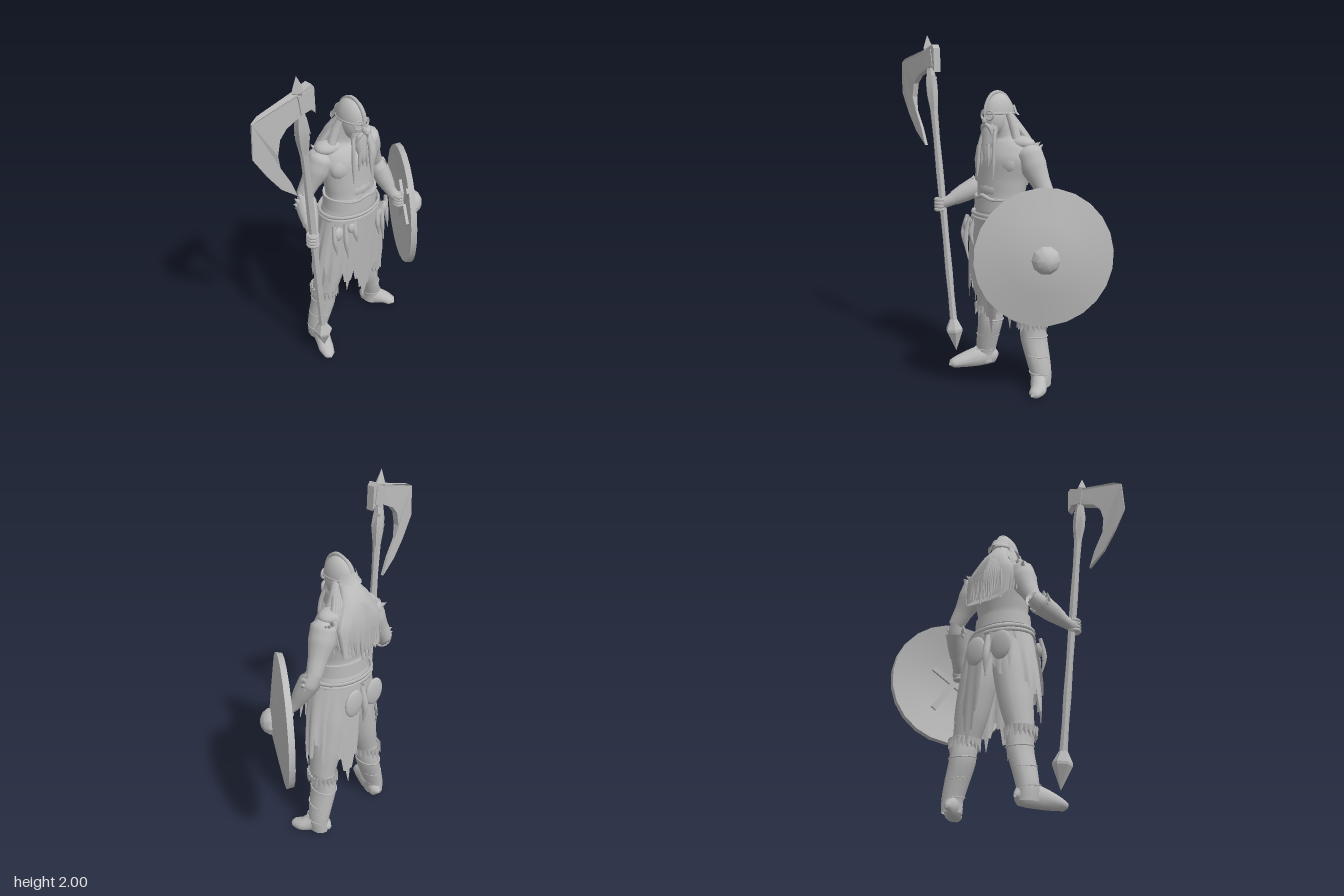
import * as THREE from 'three';
import { mergeVertices, mergeGeometries, toCreasedNormals } from 'three/addons/utils/BufferGeometryUtils.js';

export function createModel() {
  const root = new THREE.Group();
  const stone = new THREE.MeshStandardMaterial({ color: 0xbababa, side: THREE.DoubleSide });
  stone.name = 'stone grey';
  const lerp = THREE.MathUtils.lerp;
  let seed = 7;
  const rand = () => (seed = (seed * 16807) % 2147483647) / 2147483647;

  const add = (name, g, pos = [0, 0, 0], parent = root) => {
    const m = new THREE.Mesh(g, stone);
    m.name = name;
    m.position.set(...pos);
    parent.add(m);
    return m;
  };
  const flat = (g) => toCreasedNormals(g, 0.3);

  // Tapered tube through points; a radius is a number or [x, y, z]
  function tube(pts, radii, sides = 10, steps = 4, floor = -1) {
    const curve = new THREE.CatmullRomCurve3(pts.map((p) => new THREE.Vector3(...p)));
    curve.getPointAt = (t, v) => curve.getPoint(t, v);
    curve.getTangentAt = (t, v) => curve.getTangent(t, v);
    const n = (pts.length - 1) * steps;
    const g = new THREE.TubeGeometry(curve, n, 1, sides, false);
    const p = g.attributes.position;
    const R = radii.map((r) => (Array.isArray(r) ? r : [r, r, r]));
    for (let i = 0; i <= n; i++) {
      const c = curve.getPoint(i / n);
      const k = Math.min(Math.floor(i / steps), R.length - 2), f = i / steps - k;
      const r = [0, 1, 2].map((a) => lerp(R[k][a], R[k + 1][a], f));
      for (let j = 0; j <= sides; j++) {
        const q = i * (sides + 1) + j;
        p.setXYZ(q, c.x + (p.getX(q) - c.x) * r[0],
          Math.max(floor, c.y + (p.getY(q) - c.y) * r[1]), c.z + (p.getZ(q) - c.z) * r[2]);
      }
    }
    g.deleteAttribute('uv');
    g.deleteAttribute('normal');
    const m = mergeVertices(g, 1e-5);
    m.computeVertexNormals();
    return m;
  }
  const limb = (name, pts, radii, sides, steps, floor) => add(name, tube(pts, radii, sides, steps, floor));
  const ball = (name, pos, scale) => add(name, new THREE.SphereGeometry(1, 16, 12).scale(...scale), pos);
  const spike = (a, b, r) => tube([a, b], [r, 0.001], 5, 1);

  // Ring of fur tufts around a vertical limb
  function furRing(name, [x, y, z], r, len, count) {
    const tufts = [];
    for (let i = 0; i < count; i++) {
      const a = (i / count) * Math.PI * 2, s = Math.sin(a), c = Math.cos(a), o = r * (1 + rand() * 0.1);
      tufts.push(spike([x + s * r * 0.85, y + len * 0.4, z + c * r * 0.9],
        [x + s * o, y - len * (0.4 + rand() * 0.4), z + c * o * 1.1], 0.024));
    }
    add(name, mergeGeometries(tufts));
  }

  // Torso, chest and belts
  limb('torso',
    [[.06, .86, -.06], [.06, .96, -.06], [.06, 1.04, -.05], [.06, 1.12, -.05], [.06, 1.21, -.06], [.065, 1.31, -.075], [.065, 1.38, -.09], [.06, 1.44, -.09], [.055, 1.54, -.05]],
    [[.16, .1, .11], [.185, .1, .135], [.163, .1, .125], [.158, .1, .115], [.17, .1, .12], [.195, .1, .13], [.175, .1, .11], [.1, .1, .085], [.055, .06, .055]], 22);
  for (const s of [-1, 1]) {
    ball('pectoral', [.06 + s * .075, 1.29, -.02], [.095, .08, .058]);
    ball('trapezius', [.06 + s * .1, 1.4, -.1], [.1, .045, .07]);
  }
  ball('belly', [.06, 1.14, -.03], [.13, .08, .1]);
  add('waistBelt', toCreasedNormals(new THREE.CylinderGeometry(1, 1.02, .075, 24).scale(.17, 1, .135), .6), [.06, 1.065, -.05]);
  limb('beltPeak', [[-.06, 1.095, .045], [0, 1.095, .075], [.06, 1.115, .088], [.12, 1.095, .075], [.18, 1.095, .045]], [.006, .01, .012, .01, .006], 6);
  for (const y of [.975, 1.0]) {
    add('rope', new THREE.TorusGeometry(1, .05, 6, 24).rotateX(Math.PI / 2).scale(.195, .25, .146), [.06, y, -.055]);
  }

  // Hip pouches, rear flaps and hanging trophies
  for (const [x, y, z, r] of [[-.04, .93, .075, .028], [-.12, .91, .05, .035], [.18, .92, .065, .028], [.25, .91, .035, .035]]) {
    ball('pouch', [x, y, z], [r, r * 1.25, r * .7]);
  }
  for (const [x, z] of [[-.045, -.21], [.125, -.215]]) ball('rearFlap', [x, .87, z], [.068, .085, .018]);
  for (const [x, z, end] of [[-.02, .085, .82], [-.08, .075, .72], [-.14, .045, .76], [.16, .085, .78], [.22, .065, .7], [.29, .03, .74]]) {
    limb('hipCord', [[x, .97, z - .01], [x - .012, (.97 + end) / 2, z + .012], [x + .008, end, z + .01]], [.012, .016, .002], 6);
  }
  limb('backKnife', [[.05, .95, -.2], [.045, .82, -.225], [.05, .7, -.22]], [.016, .022, .002], 7);

  // Ragged cloth panels wrapped round the hips: angle, width, bottom height, puff
  const panels = [[4, 56, .3, 1], [-26, 36, .43, 1.03], [-50, 44, .46, 1.06], [-78, 44, .42, 1], [-108, 40, .52, 1.03], [36, 40, .36, 1.04],
    [62, 42, .42, 1], [92, 44, .46, 1.03], [124, 44, .5, 1.08], [160, 40, .33, 1.1], [-152, 40, .66, 1.05]];
  panels.forEach(([deg, wide, bottom, puff], i) => {
    const g = new THREE.PlaneGeometry(1, 1, 10, 6), p = g.attributes.position;
    for (let k = 0; k < p.count; k++) {
      const u = p.getX(k) * 2, v = .5 - p.getY(k);
      const jag = 1 - .36 * Math.abs(u) - .07 * (Math.round(p.getX(k) * 10 + 5) % 2 ? 0 : 1) * Math.min(1, Math.abs(u) * 5);
      const y = .98 - v * (.98 - bottom) * jag, t = (.98 - y) / .6;
      const a = (deg + u * wide * .5 * (1 - .2 * v)) * Math.PI / 180;
      const o = puff + .03 * Math.sin(u * 7 + i) * v;
      const rx = .195 + .07 * Math.sin(Math.min(t, 1) * 1.9);
      p.setXYZ(k, .07 + Math.sin(a) * rx * o, y, lerp(-.05, -.08, t) + Math.cos(a) * lerp(.148, .13, t) * o);
    }
    g.computeVertexNormals();
    add('clothPanel', g);
  });

  // Legs, boots and knee fur, mirrored about the stance centre
  for (const s of [-1, 1]) {
    const X = (d) => .085 + s * d;
    const toe = s > 0 ? -.08 : 0;
    limb('trouserLeg', [[X(.09), .95, -.07], [X(.115), .75, -.085], [X(.152), .55, -.095], [X(.185), .4, -.1]],
      [[.09, .1, .115], [.1, .1, .115], [.088, .09, .1], [.068, .06, .08]], 14);
    limb('boot', [[X(.185), .42, -.105], [X(.19), .3, -.115], [X(.222), .18, -.12], [X(.243), .09, -.125], [X(.243), .02, -.125]],
      [[.068, .05, .08], [.066, .05, .085], [.06, .05, .075], [.055, .05, .065], [.052, .05, .065]], 12);
    limb('foot', [[X(.218), .045, -.2], [X(.225), .05, -.165], [X(.258), .05, -.06 + toe * .4], [X(.3), .035, .03 + toe], [X(.318), .025, .085 + toe], [X(.323), .02, .105 + toe]],
      [.01, [.044, .055, .03], [.052, .065, .04], [.05, .04, .04], [.035, .025, .02], .004], 12, 4, 0);
    furRing('kneeFur', [X(.188), .385, -.105], .08, .055, 20);
    for (const [d, y, r] of [[.19, .31, .069], [.218, .2, .062], [.243, .1, .057]]) {
      add('bootStrap', new THREE.TorusGeometry(1, .06, 6, 16).rotateX(Math.PI / 2 - .15).scale(r, r, r * 1.2), [X(d), y, -.118]);
    }
  }

  // Right arm holds the axe, left arm holds the shield
  const arms = [
    { sh: [-.1, 1.355, -.1], up: [-.13, 1.28, -.11], el: [-.21, 1.13, -.135], wr: [-.305, 1.03, .045], hand: [-.335, 1.01, .08] },
    { sh: [.23, 1.355, -.1], up: [.26, 1.28, -.11], el: [.345, 1.12, -.135], wr: [.4, .92, -.04], hand: [.425, .87, 0] },
  ];
  const mix = (a, b, f) => a.map((v, i) => lerp(v, b[i], f));
  for (const { sh, up, el, wr, hand } of arms) {
    limb('upperArm', [mix(up, sh, 1.5), sh, up, mix(up, el, .5), el], [.03, .076, .077, .056, .046], 12);
    limb('forearm', [mix(el, up, .1), mix(el, wr, .25), mix(el, wr, .6), wr, hand], [.04, .054, .048, .034, .03], 12);
    limb('bracer', [mix(el, wr, .22), mix(el, wr, .55), mix(el, wr, .85)], [.062, .055, .043], 12, 2);
    const tufts = [];
    const at = mix(el, wr, .22);
    for (let i = 0; i < 12; i++) {
      const a = i * Math.PI / 6, c = [at[0] + Math.cos(a) * .05, at[1] + Math.sin(a) * .046, at[2]];
      tufts.push(spike(c, [c[0] + Math.cos(a) * .02, c[1] + Math.sin(a) * .018 + .012, c[2] - .022], .02));
    }
    add('elbowFur', mergeGeometries(tufts));
    ball('fist', hand, [.034, .042, .038]);
    for (let i = 0; i < 4; i++) {
      add('finger', new THREE.TorusGeometry(.027, .011, 6, 12).rotateX(Math.PI / 2), [hand[0] - .003, hand[1] + .03 - i * .02, hand[2] + .006]);
    }
  }

  // Shoulder fur lying close to the skin
  for (const s of [-1, 1]) {
    const tufts = [];
    for (let i = 0; i < 12; i++) {
      const f = i / 11, x = .06 + s * (.08 + f * .12), y = 1.43 - f * .06, z = -.1 + (rand() - .5) * .08;
      tufts.push(spike([x, y - .025, z], [x + s * .03, y + .02 * rand(), z - .035], .026));
    }
    add('shoulderFur', mergeGeometries(tufts));
  }

  // Head, face, beard and braids
  ball('head', [.055, 1.53, -.025], [.058, .09, .085]);
  limb('nose', [[.055, 1.56, .055], [.055, 1.525, .07], [.055, 1.51, .06]], [.008, .014, .01], 6);
  limb('beard', [[.055, 1.51, .01], [.055, 1.46, .03], [.055, 1.4, .05], [.055, 1.35, .062], [.055, 1.3, .065]],
    [[.045, .04, .045], [.05, .04, .04], [.034, .04, .025], [.018, .03, .015], .002], 9);
  for (const s of [-1, 1]) {
    limb('moustache', [[.055, 1.507, .062], [.055 + s * .03, 1.49, .058], [.055 + s * .042, 1.44, .05]], [.012, .013, .003], 6);
    limb('braid', [[.055 + s * .045, 1.48, .03], [.055 + s * .06, 1.4, .05], [.055 + s * .065, 1.3, .058], [.055 + s * .068, 1.21, .066]], [.012, .011, .011, .003], 6);
    limb('braid', [[.055 + s * .02, 1.4, .06], [.055 + s * .028, 1.33, .065], [.055 + s * .03, 1.28, .065]], [.012, .01, .003], 6);
    add('eyeGuard', new THREE.TorusGeometry(.024, .006, 6, 14).rotateY(s * .35), [.055 + s * .028, 1.556, .055]);
    limb('sideHair', [[.055 + s * .055, 1.56, -.06], [.055 + s * .078, 1.49, -.075], [.055 + s * .11, 1.42, -.07], [.055 + s * .13, 1.36, -.04]], [.02, .03, .028, .003], 7);
  }

  // Helmet with crest and neck guard
  add('helmet', new THREE.SphereGeometry(1, 20, 8, 0, Math.PI * 2, 0, Math.PI / 2).scale(.067, .115, .1), [.055, 1.56, -.035]);
  add('helmetRim', new THREE.TorusGeometry(1, .07, 6, 24).rotateX(Math.PI / 2).scale(.066, .1, .099), [.055, 1.565, -.035]);
  limb('helmetCrest', [[.055, 1.54, .065], [.055, 1.61, .058], [.055, 1.665, .02], [.055, 1.68, -.03], [.055, 1.655, -.09], [.055, 1.58, -.135]],
    [[.007, .01, .01], [.008, .01, .01], [.01, .012, .01], [.01, .012, .01], [.008, .01, .01], [.007, .01, .01]], 6);
  add('neckGuard', new THREE.LatheGeometry([[1.32, -.005], [1.15, .01], [1, .05]].map((q) => new THREE.Vector2(...q)), 12, Math.PI * .68, Math.PI * .64)
    .scale(.067, 1, .105), [.055, 1.56, -.035]);

  // Long hair down the back
  limb('hairMass', [[.055, 1.56, -.08], [.055, 1.46, -.145], [.06, 1.35, -.18], [.06, 1.18, -.21]],
    [[.05, .03, .04], [.1, .03, .05], [.165, .03, .042], [.145, .02, .015]], 14);
  const locks = [];
  for (let i = 0; i < 32; i++) {
    const u = (i / 31) * 2 - 1, c = u * u * .065, end = 1.13 + rand() * .07 + u * u * .06;
    locks.push(tube([[.055 + u * .06, 1.56 - c * .5, -.1 + c * .6], [.055 + u * .11, 1.46, -.175 + c], [.06 + u * .175, 1.34, -.216 + c], [.06 + u * .175 + (rand() - .5) * .03, end, -.238 + c]],
      [.014, .02, .02, .004], 6, 3));
  }
  add('hairLocks', mergeGeometries(locks));

  // Shallow cone shield with domed boss and rear grip
  const shield = new THREE.Group();
  shield.name = 'shield';
  shield.position.set(.46, .822, 0);
  shield.quaternion.setFromUnitVectors(new THREE.Vector3(0, 1, 0), new THREE.Vector3(.82, .02, .57).normalize());
  root.add(shield);
  const turned = (pts, n) => toCreasedNormals(new THREE.LatheGeometry(pts.map((q) => new THREE.Vector2(...q)), n), .5);
  add('shieldDisc', turned([[0, .05], [.2, .022], [.37, -.02], [.376, .014], [.2, .046], [0, .08]], 24), [0, 0, 0], shield);
  add('shieldBoss', turned([[.08, .055], [.074, .083], [.055, .107], [.028, .122], [0, .127]], 10), [0, 0, 0], shield);
  add('shieldGrip', new THREE.BoxGeometry(.4, .018, .035), [0, .01, 0], shield);
  add('shieldStrap', new THREE.BoxGeometry(.03, .018, .3), [0, .012, 0], shield);

  // Axe: leaning shaft, pommel spike, collars, blade
  const shaftAt = (y) => [-.242 - .0926 * (y - .1), y, .047 + .031 * (y - .1)];
  const along = (name, ys, rs, sides) => add(name, flat(tube(ys.map(shaftAt), rs, sides, 1)));
  along('axeShaft', [.28, .45, .6, .8, 1, 1.2, 1.4, 1.6, 1.9], [.023, .02, .023, .02, .022, .023, .02, .024, .022], 7);
  along('pommelSpike', [.1, .225, .24, .3], [.001, .054, .054, .024], 6);
  along('axeCollar', [1.56, 1.66, 1.73, 1.8], [.022, .036, .036, .024], 6);
  along('topSpike', [1.9, 1.925, 2.0], [.025, .036, .001], 4);
  for (const s of [-1, 1]) {
    const [x, y, z] = shaftAt(1.66);
    add('axeLug', flat(spike([x, y + .1, z], [x + s * .035, y + .02, z + s * .02], .028)));
  }
  const outline = [[-.637, 1.87], [-.68, 1.85], [-.69, 1.67], [-.615, 1.545], [-.54, 1.44], [-.445, 1.36], [-.483, 1.46], [-.54, 1.565], [-.557, 1.645],
    [-.54, 1.724], [-.5, 1.767], [-.425, 1.80], [-.36, 1.83], [-.325, 1.79], [-.33, 1.925], [-.345, 1.945], [-.415, 1.92]];
  const blade = new THREE.ExtrudeGeometry(new THREE.Shape(outline.map((q) => new THREE.Vector2(...q))), { depth: 1, bevelEnabled: false });
  const bp = blade.attributes.position;
  for (let i = 0; i < bp.count; i++) {
    const x = bp.getX(i), k = Math.min(1, (x + .69) / .06) * (bp.getY(i) > 1.6 ? 1 : .3);
    bp.setZ(i, .103 + (bp.getZ(i) - .5) * 2 * (.003 + .015 * k + .025 * Math.max(0, x + .55)));
  }
  blade.computeVertexNormals();
  add('axeBlade', blade);
  add('axeSocket', new THREE.BoxGeometry(.075, .1, .056).rotateZ(.15), [-.385, 1.865, .103]);

  return root;
}
